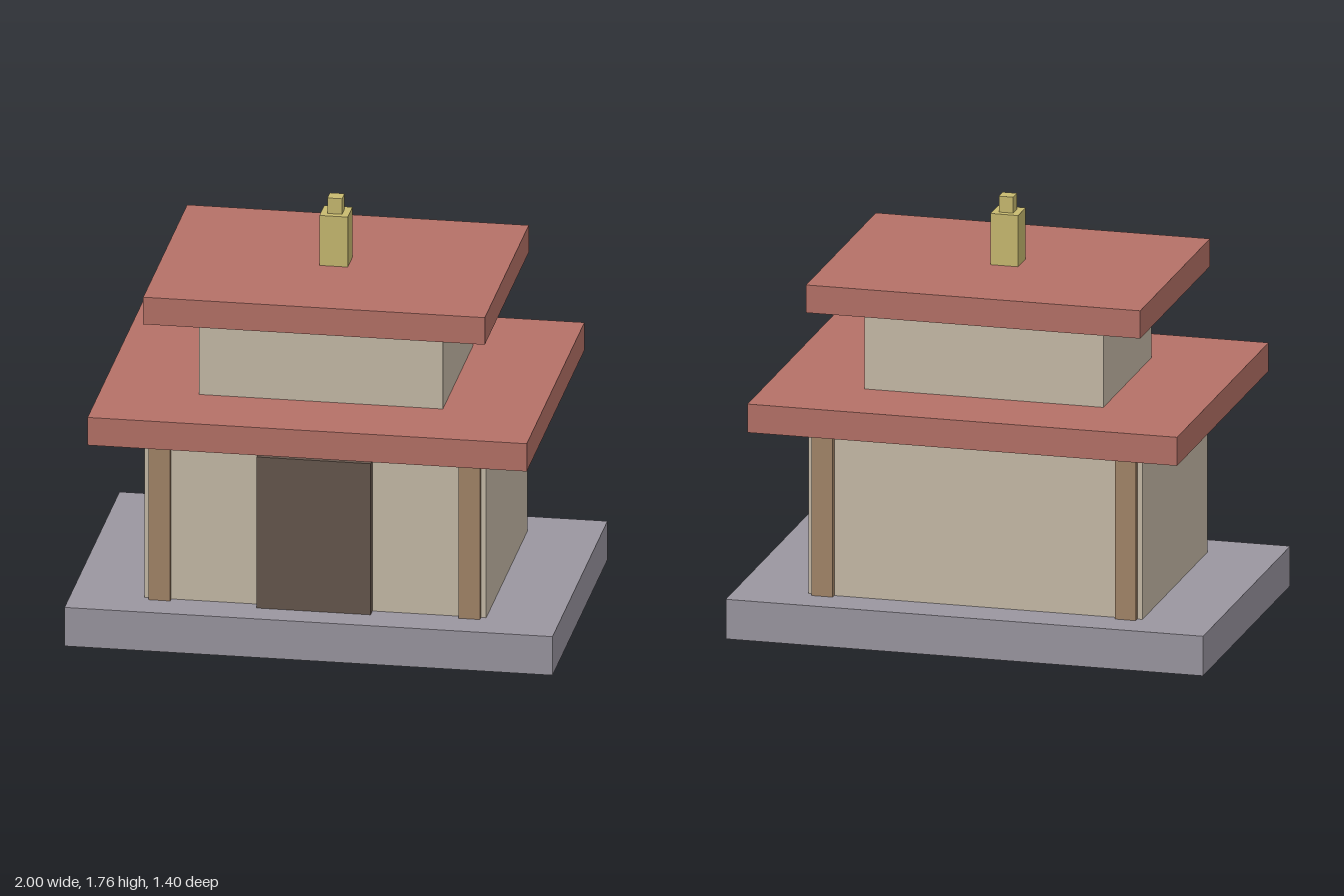
import * as THREE from 'three';

const paint = (name, color) => {
  const material = new THREE.MeshStandardMaterial({ color });
  material.name = name;
  return material;
};

export function createModel() {
  const model = new THREE.Group();
  model.name = 'pavilion';

  const stone = paint('grey stone', 0x9a96a0);
  const plaster = paint('beige plaster', 0xc7bba8);
  const tile = paint('red tile', 0xb57167);
  const timber = paint('brown timber', 0xa38568);
  const darkWood = paint('dark wood', 0x65564c);
  const gold = paint('pale gold', 0xc8ba70);

  // Block given by its width, depth, bottom and top heights
  const block = (name, material, width, depth, bottom, top, x = 0, z = 0) => {
    const mesh = new THREE.Mesh(new THREE.BoxGeometry(width, top - bottom, depth), material);
    mesh.name = name;
    mesh.position.set(x, (bottom + top) / 2, z);
    model.add(mesh);
  };

  // Stacked storeys, from the ground up
  block('base', stone, 2, 1.334, 0, 0.167);
  block('lowerWalls', plaster, 1.4, 1, 0.167, 0.887);
  block('lowerRoof', tile, 1.8, 1.4, 0.887, 1.007);
  block('upperWalls', plaster, 1, 0.734, 1.007, 1.36);
  block('upperRoof', tile, 1.4, 1.067, 1.36, 1.477);

  // Finial
  block('finial', gold, 0.116, 0.116, 1.477, 1.693);
  block('finialCap', gold, 0.06, 0.06, 1.693, 1.76);

  // Door standing proud of the front wall
  block('door', darkWood, 0.467, 0.055, 0.167, 0.82, 0, 0.517);

  // Corner pillars, half sunk in the front and back walls
  for (const x of [-0.635, 0.635]) {
    for (const z of [-0.48, 0.48]) block('pillar', timber, 0.088, 0.088, 0.167, 0.887, x, z);
  }

  return model;
}
